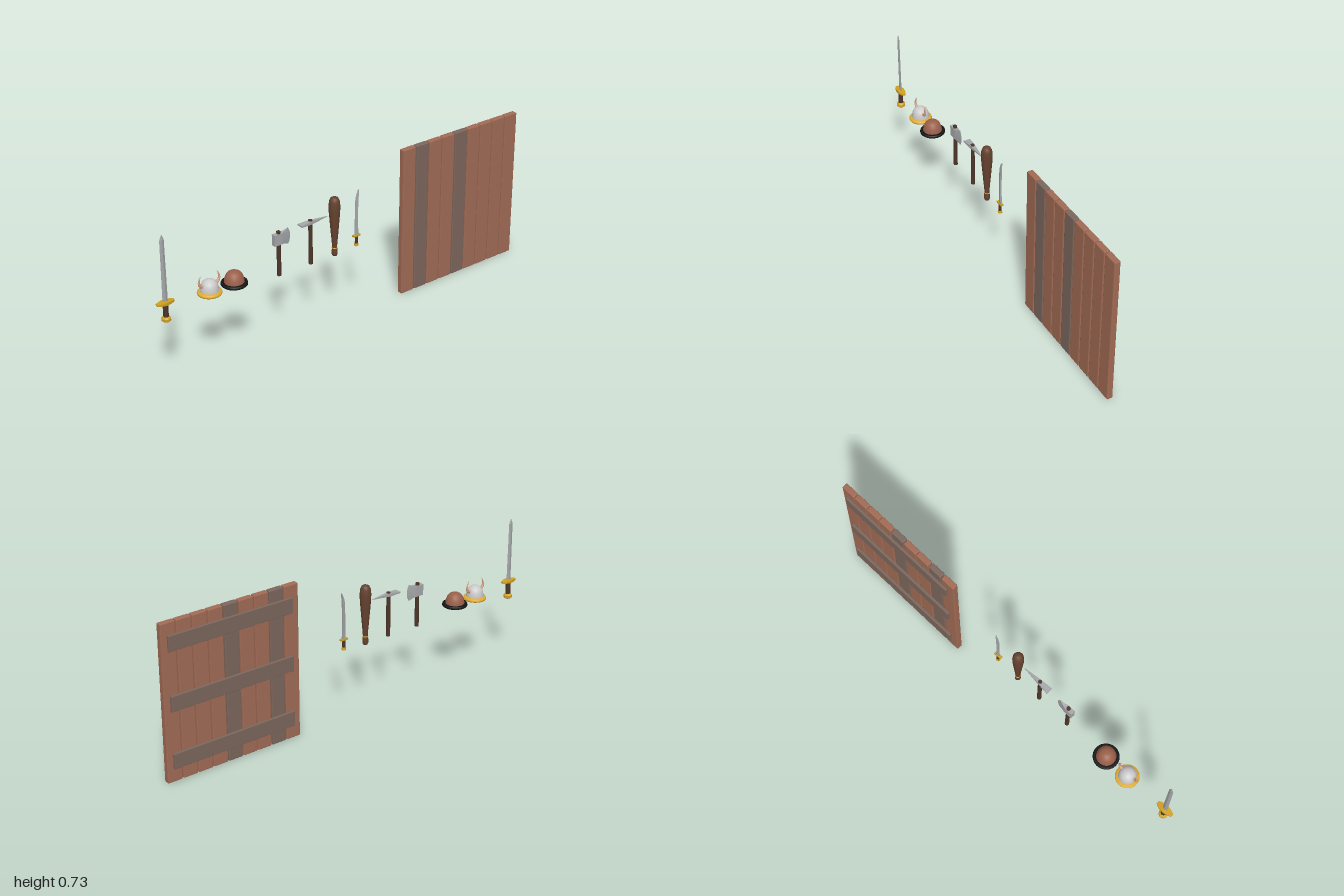
import * as THREE from 'three';
import { RoundedBoxGeometry } from 'three/addons/geometries/RoundedBoxGeometry.js';

const mat = (color, flat = true, side = THREE.FrontSide) =>
  new THREE.MeshStandardMaterial({ color, flatShading: flat, side });
const plankBrown = mat(0xa06a54), greyWood = mat(0x7b665c), darkWood = mat(0x4c3529);
const clubWood = mat(0x65422f, false), steel = mat(0xa4a6a8), gold = mat(0xd0a020);
const helmetSteel = mat(0xc4c4c2, false, THREE.DoubleSide);
const goldSmooth = mat(0xe0aa30, false, THREE.DoubleSide);
const hatFelt = mat(0x9b604a, false, THREE.DoubleSide);
const black = mat(0x151515, false), hornTone = mat(0xd3a084, false);

function add(parent, name, geometry, material, x = 0, y = 0, z = 0) {
  const mesh = new THREE.Mesh(geometry, material);
  mesh.name = name;
  mesh.position.set(x, y, z);
  parent.add(mesh);
  return mesh;
}

function group(parent, name, x, y = 0) {
  const g = new THREE.Group();
  g.name = name;
  g.position.set(x, y, 0);
  parent.add(g);
  return g;
}

const lathe = (points, sides) =>
  new THREE.LatheGeometry(points.map(([r, y]) => new THREE.Vector2(r, y)), sides);

// Box reshaped by a rule: t along x (0..1), v and w in -1..1 for height and depth
function shaped(nx, ny, rule) {
  const g = new THREE.BoxGeometry(1, 2, 2, nx, ny, 1);
  const p = g.attributes.position;
  for (let i = 0; i < p.count; i++) {
    p.setXYZ(i, ...rule(p.getX(i) + 0.5, p.getY(i), p.getZ(i)));
  }
  g.computeVertexNormals();
  return g;
}

// Tube that narrows to a point at the end of its curve
function hornGeometry(points, radius) {
  const curve = new THREE.CatmullRomCurve3(points.map(([x, y]) => new THREE.Vector3(x, y, 0)));
  const n = 14, sides = 10;
  const g = new THREE.TubeGeometry(curve, n, radius, sides);
  const p = g.attributes.position, v = new THREE.Vector3();
  for (let i = 0; i < p.count; i++) {
    const t = Math.floor(i / (sides + 1)) / n;
    const c = curve.getPointAt(t);
    v.fromBufferAttribute(p, i).sub(c).multiplyScalar(1 - 0.95 * t).add(c);
    p.setXYZ(i, v.x, v.y, v.z);
  }
  g.computeVertexNormals();
  return g;
}

// Wooden board wall with three battens at the back
function buildPanel(root) {
  const panel = group(root, 'plankPanel', 0);
  for (let i = 0; i < 9; i++) {
    add(panel, 'plank', new RoundedBoxGeometry(0.0725, 0.731, 0.028, 1, 0.004),
      i === 1 || i === 4 ? greyWood : plankBrown, 0.342 + i * 0.0773, 0.3655, 0.001);
  }
  for (const y of [0.1, 0.367, 0.64]) {
    add(panel, 'batten', new RoundedBoxGeometry(0.626, 0.071, 0.013, 1, 0.002),
      greyWood, 0.655, y, -0.0195);
  }
}

// Long straight sword
function buildSword(root) {
  const sword = group(root, 'sword', -0.958);
  add(sword, 'blade', lathe([[0, 0.4], [0.013, 0.4], [0.011, 0.692], [0, 0.718]], 4), steel)
    .scale.z = 0.4;
  const guard = shaped(6, 1, (t, v, w) => {
    const s = Math.abs(2 * t - 1);
    return [(t - 0.5) * 0.083, 0.402 + v * (0.007 - 0.003 * s), w * (0.018 - 0.011 * s * s)];
  });
  add(sword, 'guard', guard, gold);
  add(sword, 'grip', new THREE.CylinderGeometry(0.012, 0.012, 0.07, 8), darkWood, 0, 0.367);
  add(sword, 'pommel', lathe([[0, 0.313], [0.013, 0.313], [0.021, 0.319], [0.021, 0.33],
    [0.013, 0.337], [0, 0.337]], 8), gold);
}

// Open helmet with two horns
function buildHornedHelmet(root) {
  const helmet = group(root, 'hornedHelmet', -0.74);
  add(helmet, 'dome', lathe([[0.041, 0.376], [0.04, 0.395], [0.037, 0.41], [0.031, 0.422],
    [0.021, 0.431], [0.01, 0.435], [0, 0.436]], 28), helmetSteel);
  add(helmet, 'rim', lathe([[0.038, 0.37], [0.052, 0.369], [0.054, 0.374], [0.052, 0.38],
    [0.041, 0.385], [0.038, 0.381], [0.038, 0.37]], 28), goldSmooth);
  for (const s of [-1, 1]) {
    const horn = hornGeometry([[0.03, 0.411], [0.045, 0.417], [0.051, 0.433],
      [0.047, 0.451], [0.04, 0.466]].map(([x, y]) => [s * x, y]), 0.009);
    add(helmet, 'horn', horn, hornTone);
  }
}

// Round felt hat with a rolled brim
function buildRoundHat(root) {
  const hat = group(root, 'roundHat', -0.614);
  add(hat, 'crown', lathe([[0.045, 0.375], [0.044, 0.389], [0.041, 0.402], [0.036, 0.415],
    [0.028, 0.425], [0.018, 0.431], [0.008, 0.433], [0, 0.433]], 28), hatFelt);
  add(hat, 'brim', lathe([[0.043, 0.369], [0.055, 0.368], [0.0585, 0.371], [0.059, 0.376],
    [0.057, 0.381], [0.053, 0.382], [0.043, 0.382], [0.043, 0.369]], 28), black);
}

function buildHandle(parent) {
  add(parent, 'handle', new THREE.CylinderGeometry(0.009, 0.01, 0.215, 8), darkWood, 0, 0.4375);
}

// Single-bladed axe
function buildAxe(root) {
  const axe = group(root, 'axe', -0.379);
  buildHandle(axe);
  const head = shaped(8, 6, (t, v, w) => {
    const flare = Math.max(0, (t - 0.45) / 0.55);
    const half = 0.026 + 0.014 * flare * flare;
    const thick = t < 0.45 ? 0.011 : 0.011 * (1 - flare) + 0.0006;
    return [-0.027 + 0.077 * t + flare * 0.012 * (1 - v * v), 0.508 + v * half, w * thick];
  });
  add(axe, 'axeHead', head, steel);
}

// Pick with a flat chisel end and a pointed end
function buildPick(root) {
  const pick = group(root, 'pick', -0.208);
  buildHandle(pick);
  const head = shaped(8, 1, (t, v, w) => {
    const c = Math.abs(t - 0.37) / 0.63;
    return [-0.056 + 0.15 * t, 0.533 + v * (0.0075 - 0.0065 * c), w * (0.015 * (1 - t) + 0.001)];
  });
  add(pick, 'pickHead', head, steel);
}

// Heavy wooden club with a ring above the knob
function buildClub(root) {
  const club = group(root, 'club', -0.075);
  const profile = [[0, 0.326], [0.01, 0.327], [0.0135, 0.335], [0.0135, 0.352], [0.011, 0.365],
    [0.012, 0.385], [0.016, 0.43], [0.021, 0.49], [0.025, 0.54], [0.026, 0.57],
    [0.024, 0.595], [0.018, 0.609], [0.01, 0.614], [0, 0.615]];
  add(club, 'body', lathe(profile, 20), clubWood);
  const ring = add(club, 'ring', new THREE.TorusGeometry(0.011, 0.0025, 6, 20), goldSmooth, 0, 0.366);
  ring.rotation.x = Math.PI / 2;
}

// Short knife with a curved blade
function buildKnife(root) {
  const knife = group(root, 'knife', 0.048);
  const blade = shaped(12, 1, (t, v, w) => {
    const tip = Math.max(0, (t - 0.75) / 0.25);
    const left = -0.009 + 0.004 * t * t + 0.016 * tip * tip;
    const right = 0.009 - 0.004 * Math.sin(Math.PI * t) + 0.003 * t;
    // The blade runs upward, so length maps to y and height to -x
    return [v > 0 ? left : right, 0.385 + 0.225 * t, w * (v > 0 ? 0.001 : 0.004)];
  });
  add(knife, 'blade', blade, steel);
  add(knife, 'guard', new THREE.BoxGeometry(0.038, 0.008, 0.014), gold, 0, 0.386);
  add(knife, 'grip', new THREE.CylinderGeometry(0.007, 0.007, 0.04, 8), darkWood, 0, 0.365);
  add(knife, 'pommel', new THREE.CylinderGeometry(0.009, 0.011, 0.012, 8), gold, 0, 0.342);
}

export function createModel() {
  const root = new THREE.Group();
  root.name = 'wallDisplaySet';
  for (const build of [buildPanel, buildSword, buildHornedHelmet, buildRoundHat,
    buildAxe, buildPick, buildClub, buildKnife]) build(root);
  return root;
}
